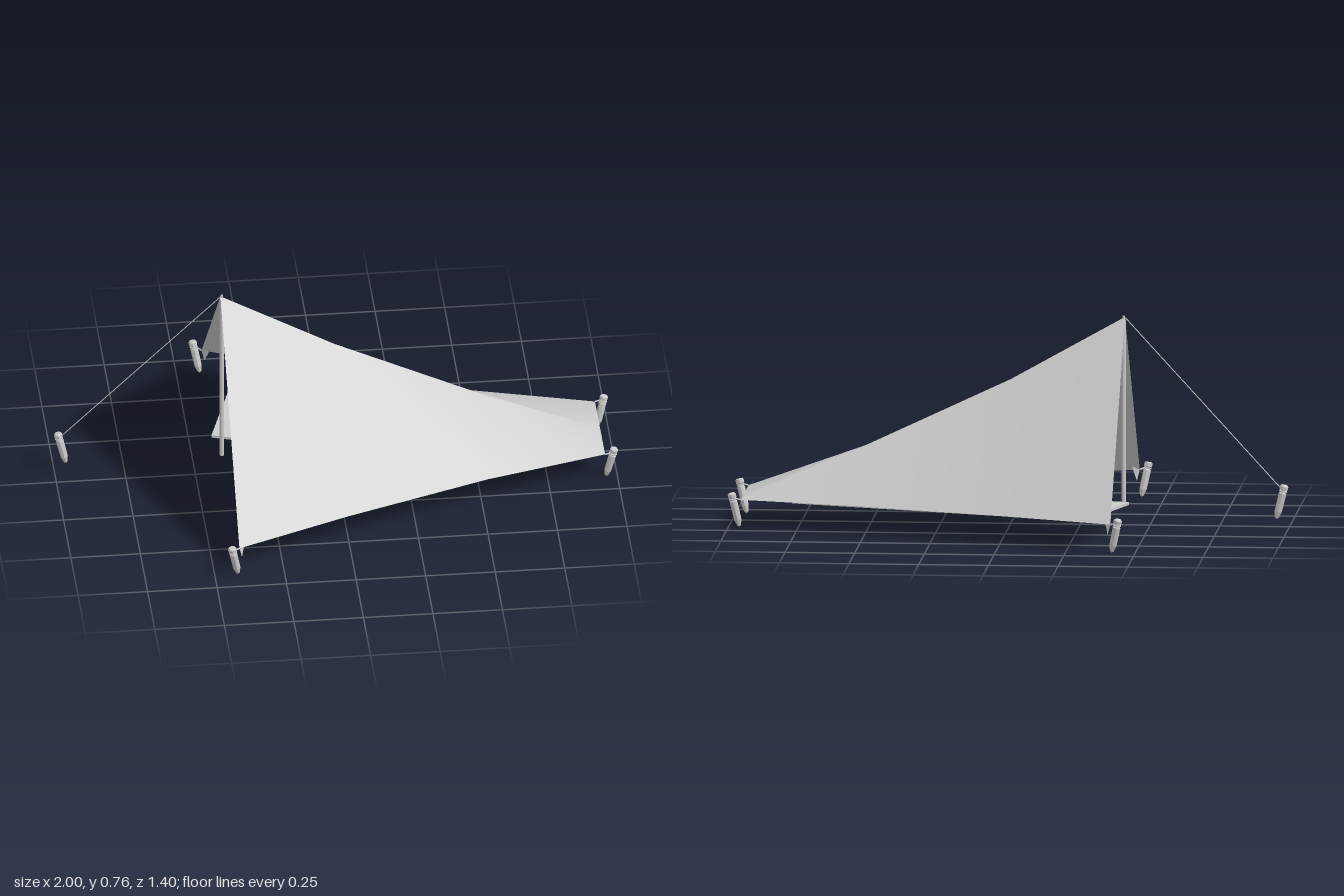
import * as THREE from 'three';
import { RoundedBoxGeometry } from 'three/addons/geometries/RoundedBoxGeometry.js';

const GROUND = 0.095;
const V = (x, y, z) => new THREE.Vector3(x, y, z);
const grey = new THREE.MeshStandardMaterial({ color: 0xcccccc });
const sheet = new THREE.MeshStandardMaterial({ color: 0xcccccc, side: THREE.DoubleSide });

function part(name, geometry, parent, material = grey) {
  const mesh = new THREE.Mesh(geometry, material);
  mesh.name = name;
  parent.add(mesh);
  return mesh;
}

// Straight round bar between two points
function bar(name, a, b, radius, parent, sides = 6) {
  const dir = b.clone().sub(a);
  const mesh = part(name, new THREE.CylinderGeometry(radius, radius, dir.length(), sides), parent);
  mesh.position.copy(a).add(b).multiplyScalar(0.5);
  mesh.quaternion.setFromUnitVectors(V(0, 1, 0), dir.normalize());
  return mesh;
}

// Indexed sheet; flip reverses the winding for the mirrored half
function sheetGeometry(points, faces, flip) {
  const geo = new THREE.BufferGeometry().setFromPoints(points);
  geo.setIndex(faces.flatMap(([a, b, c]) => (flip ? [a, c, b] : [a, b, c])));
  geo.computeVertexNormals();
  return geo;
}

// Peg with its tip at the origin, head and cord notch on top
function peg(name, tip, head, parent) {
  const group = new THREE.Group();
  group.name = name;
  const profile = [[0, 0], [0.007, 0.006], [0.013, 0.028], [0.014, 0.098], [0.009, 0.102],
    [0.009, 0.108], [0.015, 0.111], [0.015, 0.124], [0.011, 0.128], [0, 0.128]];
  const body = part('pegBody', new THREE.LatheGeometry(
    profile.map(([r, y]) => new THREE.Vector2(r, y)), 8).toNonIndexed(), group);
  body.geometry.computeVertexNormals();
  const knot = part('pegKnot', new THREE.TorusGeometry(0.012, 0.0035, 6, 12), group);
  knot.rotation.x = Math.PI / 2;
  knot.position.y = 0.105;
  group.position.copy(tip);
  group.quaternion.setFromUnitVectors(V(0, 1, 0), head.clone().sub(tip).normalize());
  parent.add(group);
}

export function createModel() {
  const model = new THREE.Group();
  model.name = 'tarpShelter';

  // Tarp: stations of x, ridge height and edge half width
  const stations = [[-0.41, 0.76, 0.655], [0, 0.53, 0.485], [0.52, 0.285, 0.295], [0.955, 0.108, 0.175]];
  const faces = [];
  for (let i = 0; i < stations.length - 1; i++) {
    const r = i * 2;
    faces.push([r, r + 1, r + 3], [r, r + 3, r + 2]);
  }
  for (const side of [1, -1]) {
    const label = side > 0 ? 'front' : 'back';
    const points = stations.flatMap(([x, y, w]) => [V(x, y, 0), V(x, 0.108, side * w)]);
    part(label + 'TarpHalf', sheetGeometry(points, faces, side < 0), model, sheet);

    // Small hanging tab at the tall corner
    const tab = [V(-0.41, 0.108, side * 0.655), V(-0.4, 0.068, side * 0.65), V(-0.385, 0.125, side * 0.62)];
    part(label + 'CornerTab', sheetGeometry(tab, [[0, 1, 2]], side < 0), model, sheet);

    // Corner pegs and their short cords
    peg(label + 'TallCornerPeg', V(-0.415, 0.008, side * 0.664), V(-0.44, 0.13, side * 0.685), model);
    bar(label + 'TallCornerCord', V(-0.41, 0.108, side * 0.655), V(-0.435, 0.115, side * 0.682), 0.003, model);
    peg(label + 'LowCornerPeg', V(0.96, 0.008, side * 0.161), V(0.988, 0.13, side * 0.175), model);
    bar(label + 'LowCornerCord', V(0.955, 0.108, side * 0.175), V(0.985, 0.115, side * 0.174), 0.003, model);
  }

  // Pole with cap, guy line and its peg
  bar('pole', V(-0.405, GROUND - 0.01, 0), V(-0.405, 0.75, 0), 0.008, model, 12);
  bar('poleTip', V(-0.405, 0.75, 0), V(-0.405, 0.765, 0), 0.004, model, 8);
  bar('guyLine', V(-0.41, 0.758, 0), V(-0.98, 0.152, -0.071), 0.0018, model);
  peg('guyPeg', V(-0.958, 0.045, -0.066), V(-0.988, 0.168, -0.072), model);

  // Bed laid across the shelter at an angle
  const bed = new THREE.Group();
  bed.name = 'bed';
  bed.position.set(0.17, GROUND, -0.13);
  bed.rotation.y = -0.307;
  model.add(bed);
  const mat = part('groundMat', new THREE.BoxGeometry(1.13, 0.01, 0.42), bed);
  mat.position.y = 0.005;

  // Sleeping bag: flattened capsule tapered to the foot
  const bagGeo = new THREE.CapsuleGeometry(0.13, 0.6, 10, 24, 10);
  bagGeo.rotateZ(Math.PI / 2);
  const p = bagGeo.attributes.position;
  for (let i = 0; i < p.count; i++) {
    const taper = 1 - 0.35 * (p.getX(i) + 0.43) / 0.86;
    p.setY(i, Math.max(p.getY(i), -0.09) * 0.4 * taper);
    p.setZ(i, p.getZ(i) * taper);
  }
  bagGeo.computeVertexNormals();
  const bag = part('sleepingBag', bagGeo, bed);
  bag.position.set(-0.03, 0.042, 0);
  const pillow = part('pillow', new RoundedBoxGeometry(0.1, 0.05, 0.22, 4, 0.024), bed);
  pillow.position.set(-0.46, 0.035, 0);

  // Backpack lying on its side, with pocket, lid and shoulder straps
  const pack = new THREE.Group();
  pack.name = 'backpack';
  pack.position.set(-0.12, GROUND, 0.2);
  pack.rotation.y = -0.5;
  model.add(pack);
  const body = part('packBody', new RoundedBoxGeometry(0.22, 0.12, 0.14, 5, 0.045), pack);
  body.position.set(0.02, 0.065, 0);
  const lid = part('packLid', new RoundedBoxGeometry(0.06, 0.13, 0.15, 5, 0.028), pack);
  lid.position.set(-0.11, 0.068, 0);
  const pocket = part('packPocket', new RoundedBoxGeometry(0.12, 0.04, 0.1, 4, 0.018), pack);
  pocket.position.set(0.03, 0.13, 0);
  for (const x of [-0.05, 0.06]) {
    const strap = part('packStrap', new THREE.TorusGeometry(0.045, 0.007, 8, 20, Math.PI), pack);
    strap.rotation.set(-Math.PI / 2, 0, 0);
    strap.scale.y = 1.5;
    strap.position.set(x, 0.02, -0.065);
  }
  return model;
}
